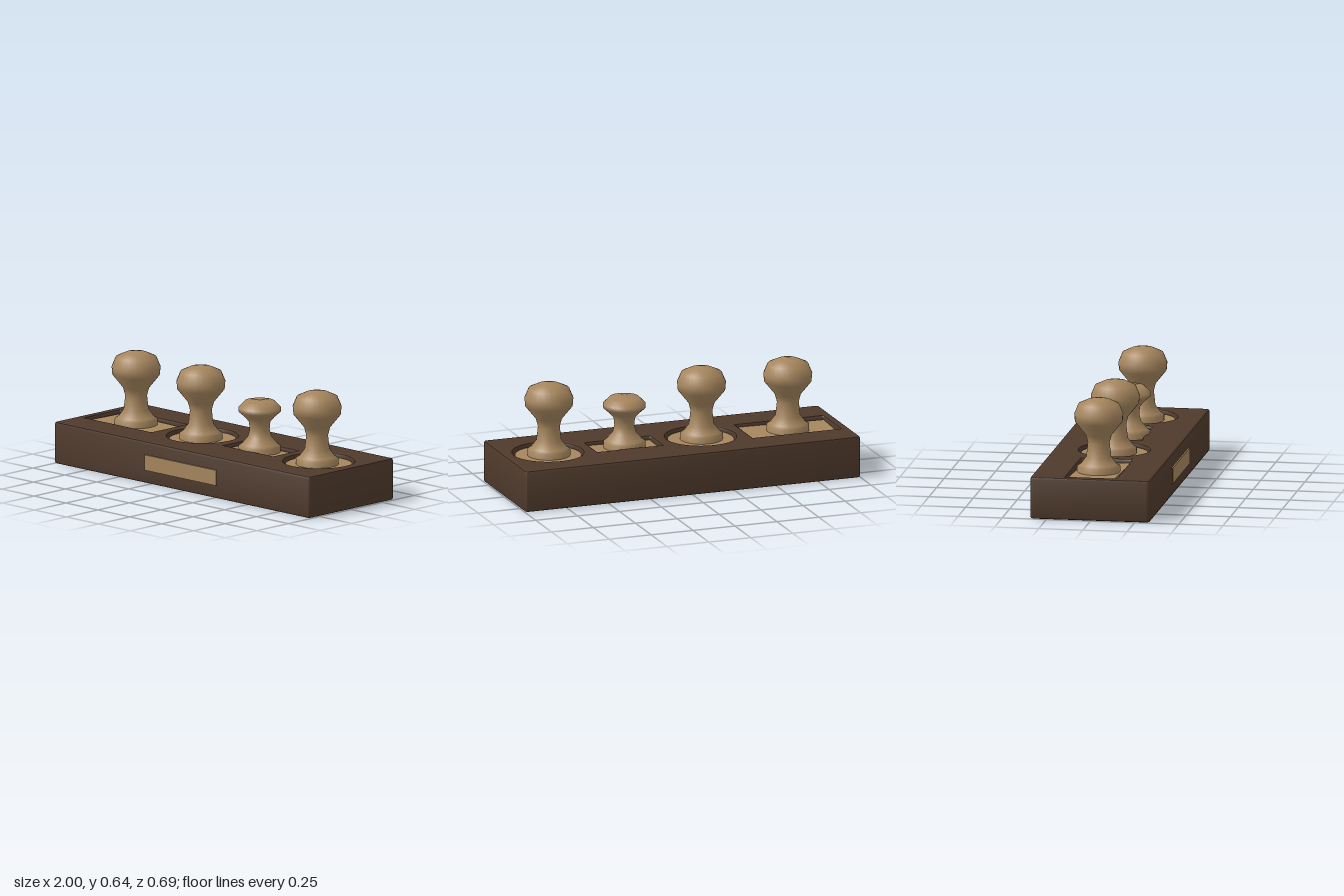
import * as THREE from 'three';
import { toCreasedNormals } from 'three/addons/utils/BufferGeometryUtils.js';

const walnut = new THREE.MeshStandardMaterial({ color: 0x4f3a2c, side: THREE.DoubleSide });
walnut.name = 'dark walnut';
const maple = new THREE.MeshStandardMaterial({ color: 0xa5855d });
maple.name = 'light wood';
const ink = new THREE.MeshStandardMaterial({ color: 0x151210 });
ink.name = 'inked relief';

const CZ = -0.004; // centre of the tray in z
const FLOOR = 0.085; // underside of the pockets

// Stamps from -x to +x: plate half sizes (or radius), handle and pocket centres, turn about y
const STAMPS = [
  { x: -0.69, z: -0.006, hx: 0.25, hz: 0.13, turn: -0.05, px: -0.692, pattern: 'frame' },
  { x: -0.177, z: 0, r: 0.186, turn: 0, px: -0.17, pattern: 'ring' },
  { x: 0.283, z: 0, hx: 0.182, hz: 0.088, turn: -0.025, px: 0.287, pattern: 'lines', small: true },
  { x: 0.733, z: 0, r: 0.186, turn: 0, px: 0.74, pattern: 'chevron' },
];
const POCKET_Z = -0.006;

const KNOB = [[0.12, 0.2], [0.12, 0.252], [0.1, 0.264], [0.07, 0.305], [0.061, 0.385], [0.073, 0.43],
  [0.133, 0.505], [0.137, 0.55], [0.114, 0.605], [0.06, 0.63], [0, 0.642]];
const SMALL_KNOB = [[0.118, 0.2], [0.118, 0.252], [0.1, 0.264], [0.066, 0.305], [0.056, 0.345], [0.06, 0.39],
  [0.085, 0.42], [0.119, 0.45], [0.119, 0.472], [0.083, 0.508], [0, 0.511]];

function add(group, name, geometry, material) {
  const mesh = new THREE.Mesh(geometry, material);
  mesh.name = name;
  group.add(mesh);
  return mesh;
}

// Rounded rectangle traced on the ground plane (shape y is -z)
function roundRect(target, cx, cz, hx, hz, r) {
  const ax = hx - r;
  const ay = hz - r;
  const corners = [[1, -1], [1, 1], [-1, 1], [-1, -1]];
  corners.forEach(([sx, sy], i) => {
    const start = (i - 1) * Math.PI / 2;
    target.absarc(cx + sx * ax, -cz + sy * ay, r, start, start + Math.PI / 2, false);
  });
  return target;
}

const trayOutline = (target, inset) => roundRect(target, 0, CZ, 1 - inset, 0.339 - inset, 0.018 - inset);

// Pocket outline around a stamp, widened by the given margin
function pocketOutline(target, s, margin) {
  if (s.r) return target.absarc(s.px, -POCKET_Z, s.r + margin, 0, Math.PI * 2, false);
  return roundRect(target, s.px, POCKET_Z, s.hx + margin, s.hz + margin, 0.008);
}

// Thin wall through a stack of outlines, each given as [outline, height]
function loft(levels, segments) {
  const rings = levels.map(([outline, y]) => outline.getPoints(segments).map((p) => [p.x, y, -p.y]));
  const n = rings[0].length;
  const index = [];
  for (let k = 0; k < rings.length - 1; k++) {
    for (let i = 0; i < n; i++) {
      const a = k * n + i;
      const b = k * n + ((i + 1) % n);
      index.push(a, b, b + n, a, b + n, a + n);
    }
  }
  const g = new THREE.BufferGeometry();
  g.setAttribute('position', new THREE.Float32BufferAttribute(rings.flat(2), 3));
  g.setIndex(index);
  return toCreasedNormals(g, 0.5);
}

// Flat sheet on the ground plane at a height
function sheet(shape, y) {
  return new THREE.ShapeGeometry(shape, 20).rotateX(-Math.PI / 2).translate(0, y, 0);
}

function buildTray() {
  const tray = new THREE.Group();
  tray.name = 'tray';

  // Hollow outer walls with softened edges, open below
  const profile = [[0.015, 0], [0.004, 0.004], [0, 0.015], [0, 0.225], [0.004, 0.236], [0.015, 0.24]];
  const levels = profile.map(([inset, y]) => [trayOutline(new THREE.Shape(), inset), y]);
  add(tray, 'trayWalls', loft(levels, 4), walnut);

  // Top board with one opening per stamp
  const top = trayOutline(new THREE.Shape(), 0.015);
  STAMPS.forEach((s) => top.holes.push(pocketOutline(new THREE.Path(), s, 0.024)));
  add(tray, 'trayTop', sheet(top, 0.24), walnut);

  // Pockets with a chamfered rim, straight sides and a floor
  STAMPS.forEach((s) => {
    const rim = [[0.024, 0.24], [0.016, 0.236], [0.012, 0.226], [0.012, FLOOR]];
    const sides = rim.map(([margin, y]) => [pocketOutline(new THREE.Shape(), s, margin), y]);
    add(tray, 'pocketSides', loft(sides, 20), walnut);
    add(tray, 'pocketFloor', sheet(pocketOutline(new THREE.Shape(), s, 0.012), FLOOR), walnut);
  });

  // Blank label on the front: a thin face with folded lips
  const label = new THREE.Group();
  label.name = 'frontLabel';
  label.position.set(0, 0.121, 0.335);
  add(label, 'labelFace', new THREE.BoxGeometry(0.56, 0.088, 0.002), maple).position.z = 0.008;
  [-1, 1].forEach((side) => {
    add(label, 'labelLip', new THREE.BoxGeometry(0.56, 0.002, 0.008), maple).position.set(0, side * 0.043, 0.004);
  });
  tray.add(label);
  return tray;
}

// Thin relief bars and arcs under a stamp
function buildRelief(s) {
  const relief = new THREE.Group();
  relief.name = 'relief';
  relief.position.y = FLOOR - 0.002;
  const bar = (x0, z0, x1, z1) => {
    const g = new THREE.BoxGeometry(Math.hypot(x1 - x0, z1 - z0), 0.006, 0.012);
    const mesh = add(relief, 'reliefBar', g, ink);
    mesh.position.set((x0 + x1) / 2, 0, (z0 + z1) / 2);
    mesh.rotation.y = -Math.atan2(z1 - z0, x1 - x0);
  };
  if (s.pattern === 'frame') {
    bar(-0.2, -0.09, 0.06, -0.09);
    bar(-0.2, -0.09, -0.2, 0.09);
    bar(-0.15, 0.08, 0.02, 0.02);
    bar(-0.13, -0.04, 0.06, -0.04);
  } else if (s.pattern === 'lines') {
    [-0.04, 0, 0.04].forEach((z, i) => bar(-0.12, z, 0.06 - i * 0.03, z));
  } else if (s.pattern === 'chevron') {
    bar(-0.07, -0.05, 0.06, -0.05);
    bar(0.06, -0.05, 0.05, 0.07);
    bar(-0.07, -0.05, -0.07, 0.02);
  } else {
    const arc = new THREE.TorusGeometry(0.145, 0.006, 4, 32, Math.PI * 1.3);
    arc.rotateX(Math.PI / 2).scale(1, 0.5, 1);
    add(relief, 'reliefArc', arc, ink);
    add(relief, 'reliefDot', new THREE.CylinderGeometry(0.028, 0.028, 0.006, 3), ink);
  }
  return relief;
}

function buildStamp(s) {
  const stamp = new THREE.Group();
  stamp.name = 'stamp';
  stamp.position.set(s.x, 0, s.z);
  stamp.rotation.y = s.turn;

  // Wooden plate
  const plate = s.r
    ? new THREE.CylinderGeometry(s.r, s.r, 0.13, 40)
    : new THREE.BoxGeometry(s.hx * 2, 0.13, s.hz * 2);
  add(stamp, 'plate', plate, maple).position.set(s.px - s.x, 0.155, POCKET_Z - s.z);
  stamp.add(buildRelief(s));

  // Turned handle
  const profile = (s.small ? SMALL_KNOB : KNOB).map(([r, y]) => new THREE.Vector2(r, y));
  add(stamp, 'handle', new THREE.LatheGeometry(profile, 28), maple);
  return stamp;
}

export function createModel() {
  const model = new THREE.Group();
  model.name = 'stampSet';
  model.add(buildTray());
  STAMPS.forEach((s) => model.add(buildStamp(s)));
  return model;
}
